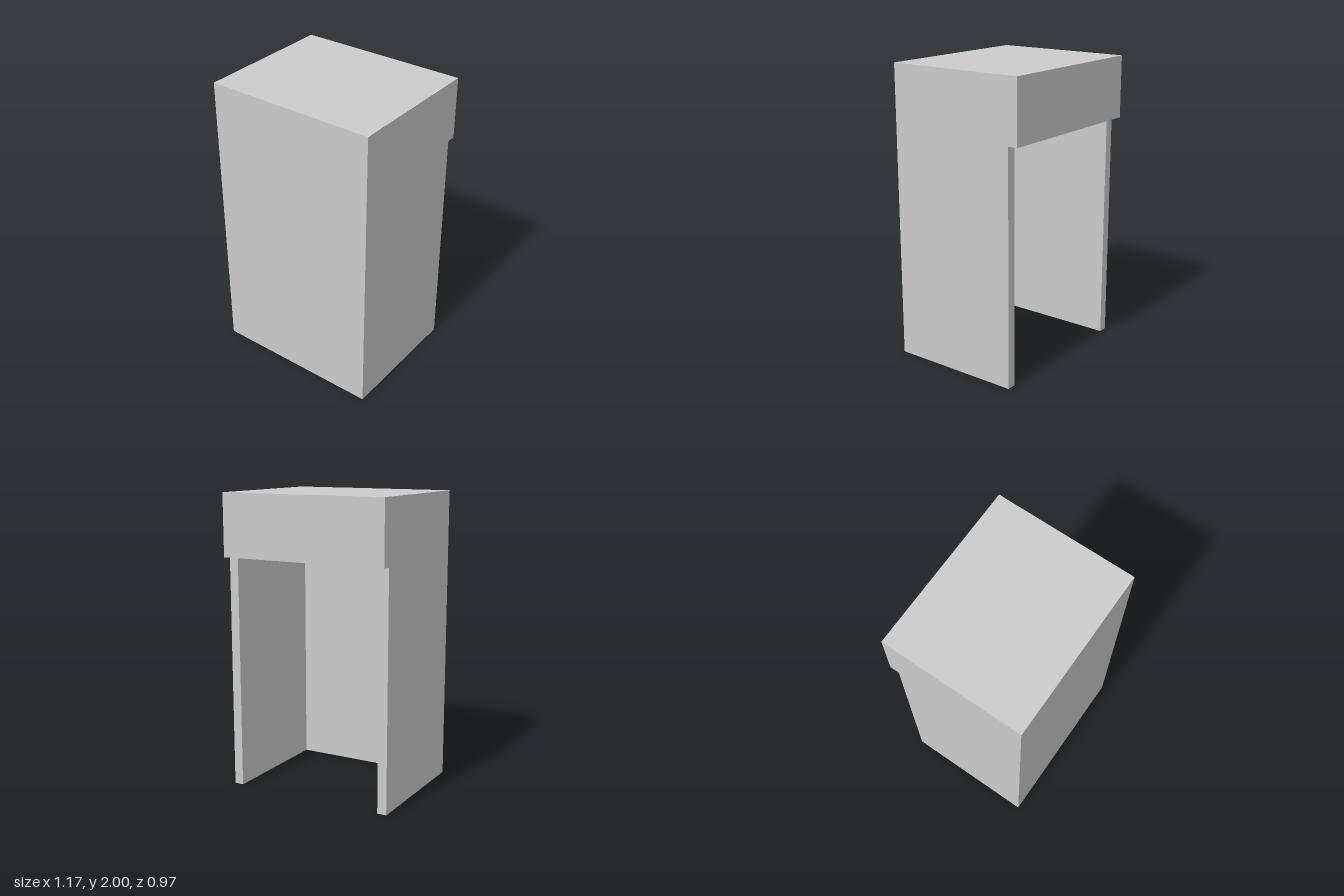
import * as THREE from 'three';

const WIDTH = 1.17, DEPTH = 0.97, HEIGHT = 2;
const LEG_HEIGHT = 1.58; // underside of the top block
const WALL = 0.064;      // panel thickness, also the rear overhang

export function createModel() {
  const group = new THREE.Group();
  const material = new THREE.MeshStandardMaterial({ color: 0xcccccc, flatShading: true });

  // Box given by its size, the height of its underside and its centre in x and z
  const addBox = (name, w, h, d, x, y, z) => {
    const mesh = new THREE.Mesh(new THREE.BoxGeometry(w, h, d), material);
    mesh.name = name;
    mesh.position.set(x, y + h / 2, z);
    group.add(mesh);
  };

  // Solid top block, overhanging the side panels at the back
  addBox('topBlock', WIDTH, HEIGHT - LEG_HEIGHT, DEPTH, 0, LEG_HEIGHT, 0);

  // Front panel, fitted between the sides
  addBox('frontPanel', WIDTH - 2 * WALL, LEG_HEIGHT, WALL, 0, 0, (DEPTH - WALL) / 2);

  // Side panels, stopping short of the back edge
  for (const side of [-1, 1]) {
    addBox(side > 0 ? 'leftPanel' : 'rightPanel', WALL, LEG_HEIGHT, DEPTH - WALL,
      side * (WIDTH - WALL) / 2, 0, WALL / 2);
  }
  return group;
}
